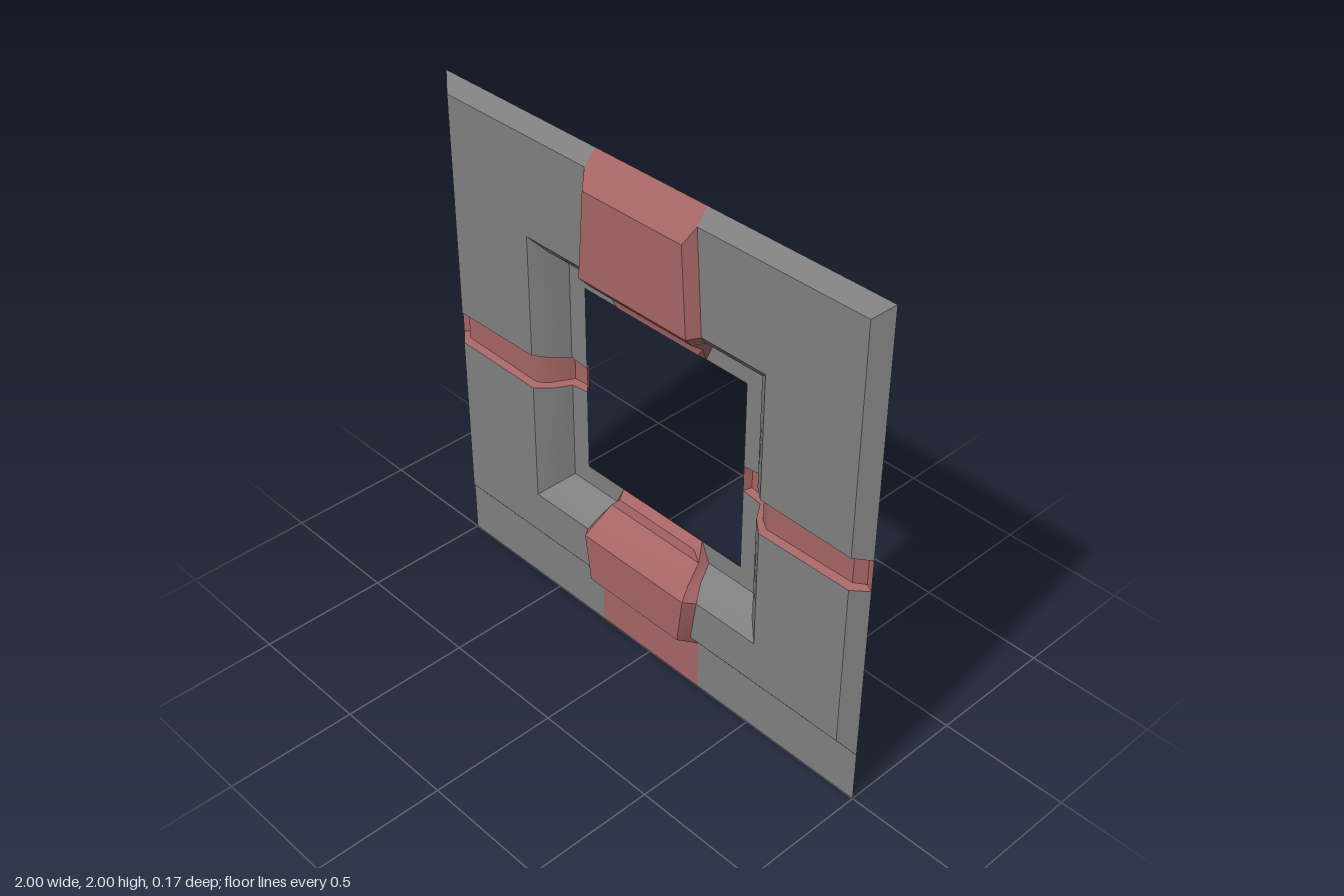
import * as THREE from 'three';
import { toCreasedNormals } from 'three/addons/utils/BufferGeometryUtils.js';

const GREY = new THREE.MeshStandardMaterial({ color: 0x7f7f7f, side: THREE.DoubleSide });
const RED = new THREE.MeshStandardMaterial({ color: 0xa56464, side: THREE.DoubleSide });

// Sheet between successive rows of points; collapsed triangles are dropped
function sheet(name, rows, material, flip = false) {
  const out = [];
  const tri = (a, b, c) => {
    const area = b.clone().sub(a).cross(c.clone().sub(a)).length();
    if (area < 1e-7) return;
    for (const p of flip ? [a, c, b] : [a, b, c]) out.push(p.x, p.y, p.z);
  };
  for (let i = 0; i < rows.length - 1; i++) {
    for (let j = 0; j < rows[i].length - 1; j++) {
      const a = rows[i][j], b = rows[i + 1][j], c = rows[i + 1][j + 1], d = rows[i][j + 1];
      tri(a, b, c);
      tri(a, c, d);
    }
  }
  const geo = new THREE.BufferGeometry();
  geo.setAttribute('position', new THREE.Float32BufferAttribute(out, 3));
  const mesh = new THREE.Mesh(toCreasedNormals(geo, 0.5), material);
  mesh.name = name;
  return mesh;
}

const V = (x, y, z) => new THREE.Vector3(x, y, z);

// Loops of the frame from outer rim to opening:
// half width, top y, bottom y, z, half width of the block, half height of the groove
const LOOPS = [
  { x: 1, top: 2, bottom: 0.21, z: 0, block: 0.25, groove: 0.063 },
  { x: 0.945, top: 1.945, bottom: 0.27, z: 0.045, block: 0.254, groove: 0.065 },
  { x: 0.557, top: 1.557, bottom: 0.445, z: 0.045, block: 0.28, groove: 0.07 },
  { x: 0.503, top: 1.503, bottom: 0.5, z: 0, block: 0.256, groove: 0.065 },
  { x: 0.463, top: 1.463, bottom: 0.54, z: -0.06, block: 0.235, groove: 0.06 },
  { x: 0.384, top: 1.384, bottom: 0.618, z: -0.06, block: 0.2, groove: 0.05 },
];

// Raised ridge of the blocks: half width, top y, bottom y, z
const RIDGE = [
  [0.25, 2, 0.21, 0],
  [0.225, 1.885, 0.262, 0.083],
  [0.25, 1.55, 0.455, 0.085],
  [0.237, 1.504, 0.499, 0.045],
  [0.222, 1.45, 0.555, -0.022],
  [0.19, 1.41, 0.592, -0.03],
];

// Sunken floor of the grooves: x, half height, z
const FLOOR = [
  [0.975, 0.054, -0.008],
  [0.938, 0.052, 0.02],
  [0.568, 0.06, 0.02],
  [0.53, 0.057, -0.003],
  [0.475, 0.05, -0.085],
  [0.4, 0.042, -0.085],
];

// Close both ends of a band by collapsing it onto its base edge
function capped(rows) {
  const flat = ([a, , , d]) => [a, a, d, d];
  return [flat(rows[0]), ...rows, flat(rows[rows.length - 1])];
}

export function createModel() {
  const group = new THREE.Group();
  group.name = 'wallFrame';

  // Four mirrored corners of the grey frame
  for (const sx of [1, -1]) {
    for (const end of ['top', 'bottom']) {
      const sy = end === 'top' ? 1 : -1;
      const rows = LOOPS.map((l) => [
        V(sx * l.block, l[end], l.z),
        V(sx * l.x, l[end], l.z),
        V(sx * l.x, 1 + sy * l.groove, l.z),
      ]);
      const side = sx > 0 ? 'Left' : 'Right';
      group.add(sheet(`${end}${side}Corner`, rows, GREY, sx * sy < 0));
    }
  }

  // Raised blocks across the top and bottom members
  for (const end of ['top', 'bottom']) {
    const rows = LOOPS.map((l, i) => {
      const [w, top, bottom, z] = RIDGE[i];
      const y = end === 'top' ? top : bottom;
      return [V(-l.block, l[end], l.z), V(-w, y, z), V(w, y, z), V(l.block, l[end], l.z)];
    });
    group.add(sheet(`${end}Block`, capped(rows), RED, end === 'bottom'));
  }

  // Sunken grooves across the side members
  for (const sx of [1, -1]) {
    const rows = LOOPS.map((l, i) => {
      const [x, h, z] = FLOOR[i];
      return [
        V(sx * l.x, 1 + l.groove, l.z),
        V(sx * x, 1 + h, z),
        V(sx * x, 1 - h, z),
        V(sx * l.x, 1 - l.groove, l.z),
      ];
    });
    group.add(sheet(sx > 0 ? 'leftGroove' : 'rightGroove', capped(rows), RED, sx < 0));
  }

  // Flat skirt below the frame
  const skirt = (name, x0, x1, material) => group.add(sheet(name, [
    [V(x0, 0.21, 0), V(x1, 0.21, 0)],
    [V(x0, 0, 0), V(x1, 0, 0)],
  ], material));
  skirt('rightSkirt', -1, -0.25, GREY);
  skirt('middleSkirt', -0.25, 0.25, RED);
  skirt('leftSkirt', 0.25, 1, GREY);

  return group;
}
